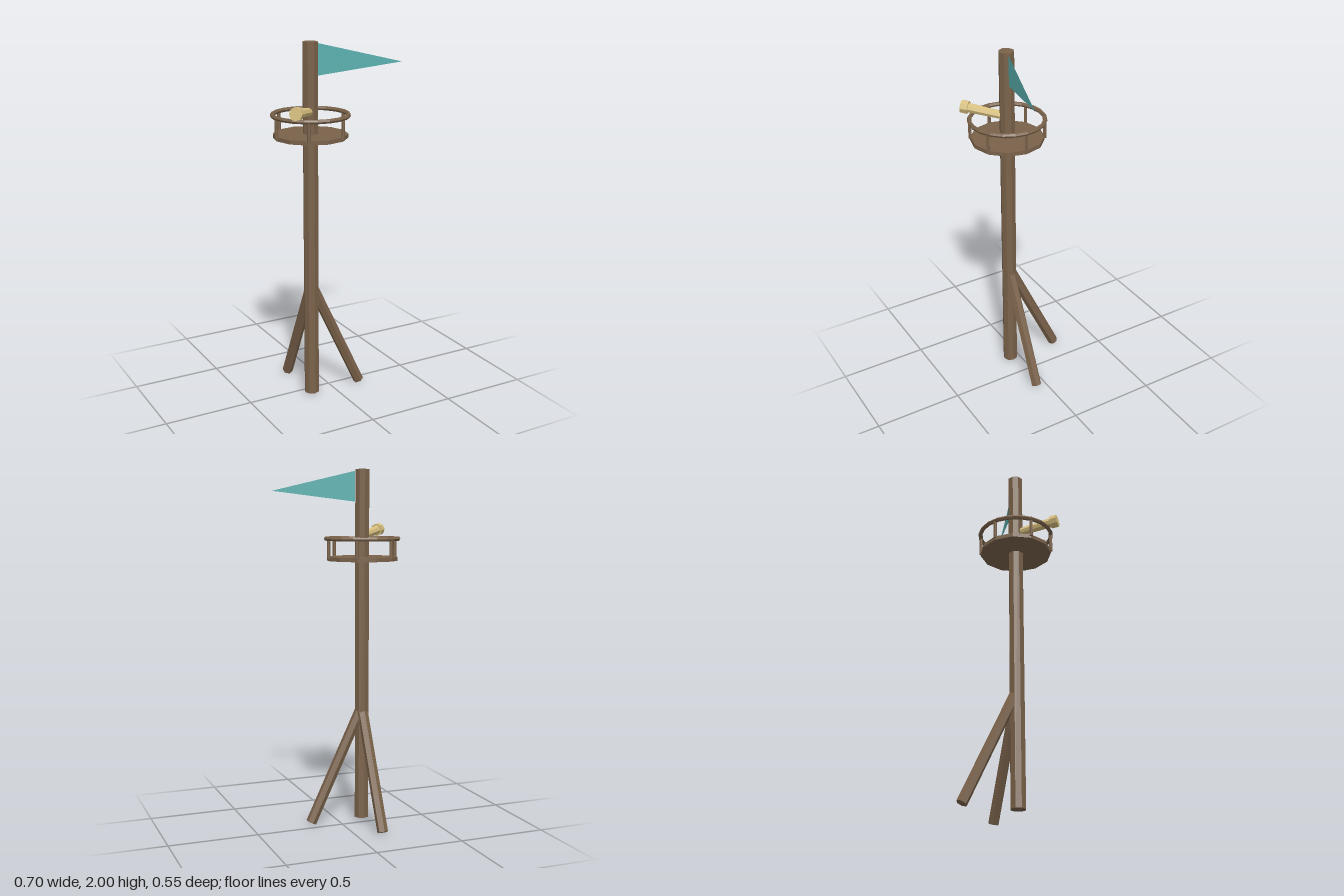
import * as THREE from 'three';

const material = (color, side = THREE.FrontSide) =>
  new THREE.MeshStandardMaterial({ color, side, flatShading: true });

export function createModel() {
  const model = new THREE.Group();
  model.name = 'lookoutMast';
  const wood = material(0x7a624a);
  const brass = material(0xd6be7e);
  const cloth = material(0x5ab0b0, THREE.DoubleSide);
  const axisX = -0.142, axisZ = 0.06;

  function add(name, geometry, mat, parent = model) {
    const mesh = new THREE.Mesh(geometry, mat);
    mesh.name = name;
    parent.add(mesh);
    return mesh;
  }

  // Everything is placed around the mast axis
  const rig = new THREE.Group();
  rig.name = 'rig';
  rig.position.set(axisX, 0, axisZ);
  model.add(rig);

  // Mast
  const bottom = 0.015;
  add('mast', new THREE.CylinderGeometry(0.042, 0.042, 2 - bottom, 8), wood, rig)
    .position.y = (2 + bottom) / 2;

  // Two slanted braces, one to the left and one to the back
  const reach = 0.309, footY = 0.013, rise = 0.652;
  const length = Math.hypot(reach, rise), lean = Math.atan2(reach, rise);
  const brace = (name) => add(name, new THREE.CylinderGeometry(0.03, 0.03, length, 6), wood, rig);
  const leftBrace = brace('leftBrace');
  leftBrace.position.set(reach / 2, footY + rise / 2, 0);
  leftBrace.rotation.z = lean;
  const backBrace = brace('backBrace');
  backBrace.position.set(0, footY + rise / 2, -reach / 2);
  backBrace.rotation.x = lean;

  // Lookout platform with railing
  const nest = new THREE.Group();
  nest.name = 'lookoutPlatform';
  nest.position.y = 1.507;
  rig.add(nest);
  add('platformFloor', new THREE.CylinderGeometry(0.2, 0.2, 0.022, 12), wood, nest);
  const rail = add('handrail', new THREE.TorusGeometry(0.2025, 0.012, 6, 20), wood, nest);
  rail.rotation.x = Math.PI / 2;
  rail.position.y = 0.111;
  for (let i = 0; i < 6; i++) {
    const a = (i / 6) * Math.PI * 2;
    add('railPost', new THREE.CylinderGeometry(0.01, 0.01, 0.11, 6), wood, nest)
      .position.set(Math.cos(a) * 0.2, 0.056, Math.sin(a) * 0.2);
  }

  // Spyglass pointing diagonally forward and slightly up
  const spyglass = new THREE.Group();
  spyglass.name = 'spyglass';
  spyglass.position.y = 1.634;
  const aim = new THREE.Vector3(-1, 0.18, 1).normalize();
  spyglass.quaternion.setFromUnitVectors(new THREE.Vector3(0, 1, 0), aim);
  rig.add(spyglass);
  add('spyglassTube', new THREE.CylinderGeometry(0.027, 0.022, 0.22, 8), brass, spyglass)
    .position.y = 0.11;
  add('spyglassEnd', new THREE.CylinderGeometry(0.036, 0.036, 0.04, 8), brass, spyglass)
    .position.y = 0.235;

  // Pennant, swung a little to the front
  const shape = new THREE.Shape([
    new THREE.Vector2(0.042, 1.822),
    new THREE.Vector2(0.502, 1.88),
    new THREE.Vector2(0.042, 1.99),
  ]);
  add('pennant', new THREE.ShapeGeometry(shape), cloth, rig).rotation.y = -0.248;

  return model;
}
